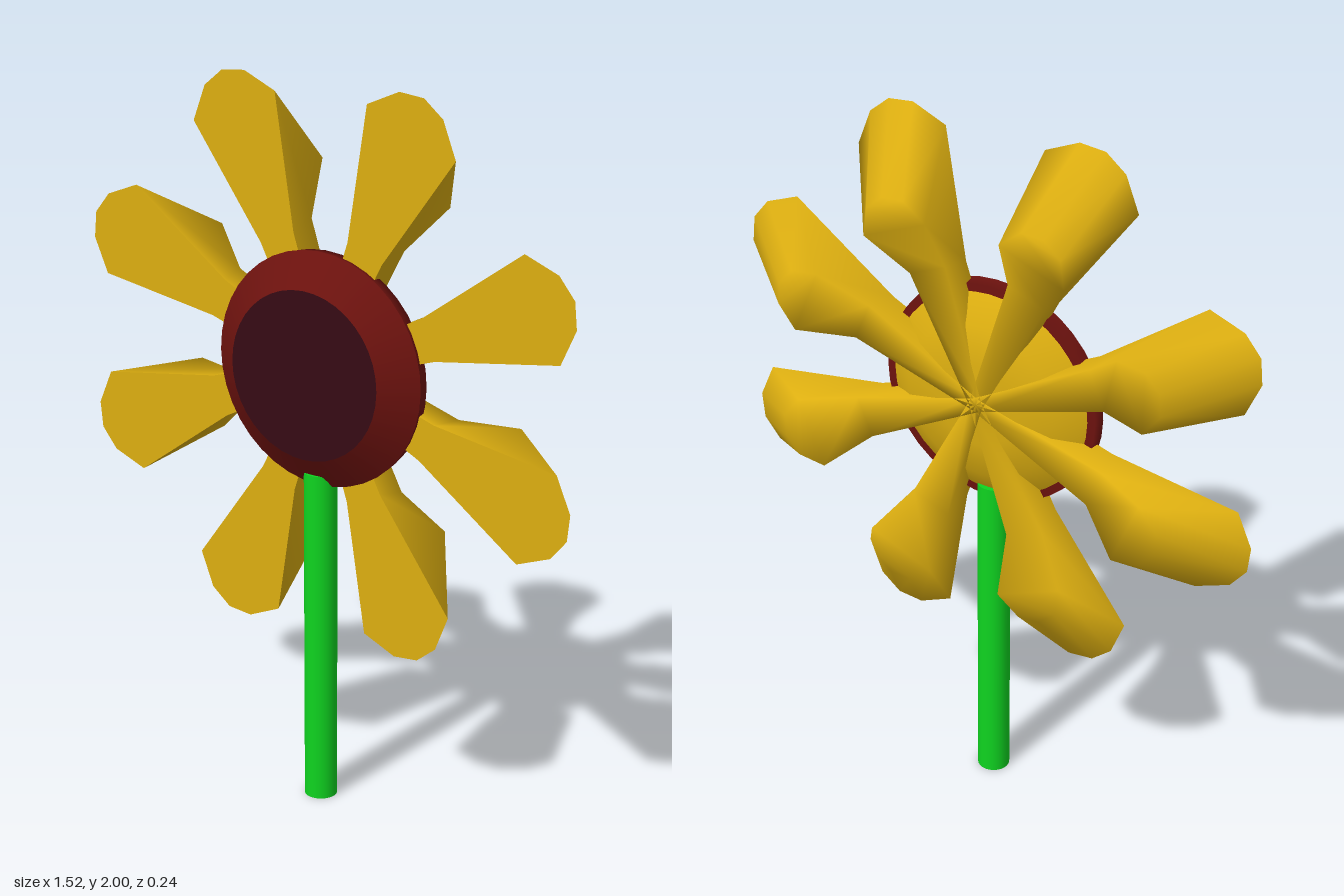
import * as THREE from 'three';

const CENTRE_Y = 1.235;
const material = (color) => new THREE.MeshStandardMaterial({ color, side: THREE.DoubleSide });

function part(name, geometry, mat) {
  const mesh = new THREE.Mesh(geometry, mat);
  mesh.name = name;
  return mesh;
}

// Profile of [radius, z] turned around the z axis, with crisp rings
function turned(profile, segments = 40) {
  const points = profile.map(([r, z]) => new THREE.Vector2(r, z));
  return new THREE.LatheGeometry(points, segments).rotateX(Math.PI / 2);
}

// Petal along +x: flat front outline joined to a smaller raised back outline
function petalGeometry() {
  const front = [[0, 0.03, 0.04], [0.36, 0.057, 0.04], [0.718, 0.143, 0.04], [0.794, 0.07, 0.04], [0.815, 0, 0.04]];
  const back = [[0, 0.02, -0.055], [0.38, 0.058, -0.05], [0.52, 0.1, -0.12], [0.59, 0.06, -0.12], [0.61, 0, -0.12]];
  // Closed loop: lower side out to the tip, then the upper side back
  const loop = (half) => [
    ...half.map(([r, w, z]) => [r, -w, z]),
    ...half.slice(0, -1).reverse().map(([r, w, z]) => [r, w, z]),
  ];
  const f = loop(front), b = loop(back), n = f.length;
  const positions = [...f, ...f, ...b].flat(); // front outline doubled for a crisp edge
  const index = [];
  for (let i = 0; i < n; i++) {
    const j = (i + 1) % n;
    index.push(n + i, 2 * n + i, n + j, n + j, 2 * n + i, 2 * n + j);
  }
  // Front and back faces as strips between mirrored points
  for (let i = 0; i < (n - 1) / 2; i++) {
    const a = i, c = i + 1, d = n - 2 - i, e = n - 1 - i;
    index.push(a, c, e);
    index.push(2 * n + a, 2 * n + e, 2 * n + c);
    if (c !== d) {
      index.push(c, d, e);
      index.push(2 * n + c, 2 * n + e, 2 * n + d);
    }
  }
  const geometry = new THREE.BufferGeometry();
  geometry.setAttribute('position', new THREE.Float32BufferAttribute(positions, 3));
  geometry.setIndex(index);
  geometry.computeVertexNormals();
  return geometry;
}

export function createModel() {
  const model = new THREE.Group();
  model.name = 'flower';
  const yellow = material(0xdcae10);
  const red = material(0x6c120e);
  const darkRed = material(0x360b14);
  const green = material(0x0fd420);

  // Stem
  const stem = part('stem', new THREE.CylinderGeometry(0.045, 0.045, 0.95, 24), green);
  stem.position.set(0, 0.475, 0.04);
  model.add(stem);

  const head = new THREE.Group();
  head.name = 'flowerHead';
  head.position.y = CENTRE_Y;
  model.add(head);

  // Eight petals
  const petal = petalGeometry();
  for (let i = 0; i < 8; i++) {
    const mesh = part('petal', petal, yellow);
    mesh.rotation.z = (i + 0.5) * Math.PI / 4;
    head.add(mesh);
  }

  // Shallow cup behind the centre
  head.add(part('backCup', turned([[0, -0.055], [0.12, -0.053], [0.22, -0.035], [0.3, 0.02]]), yellow));

  // Bevelled disc and its dark face
  head.add(part('centreDisc', turned([[0, 0.015], [0.315, 0.015], [0.32, 0.05]]), red));
  head.add(part('centreBevel', turned([[0.32, 0.05], [0.23, 0.118]]), red));
  const face = part('seedFace', new THREE.CircleGeometry(0.23, 40), darkRed);
  face.position.z = 0.118;
  head.add(face);

  return model;
}
